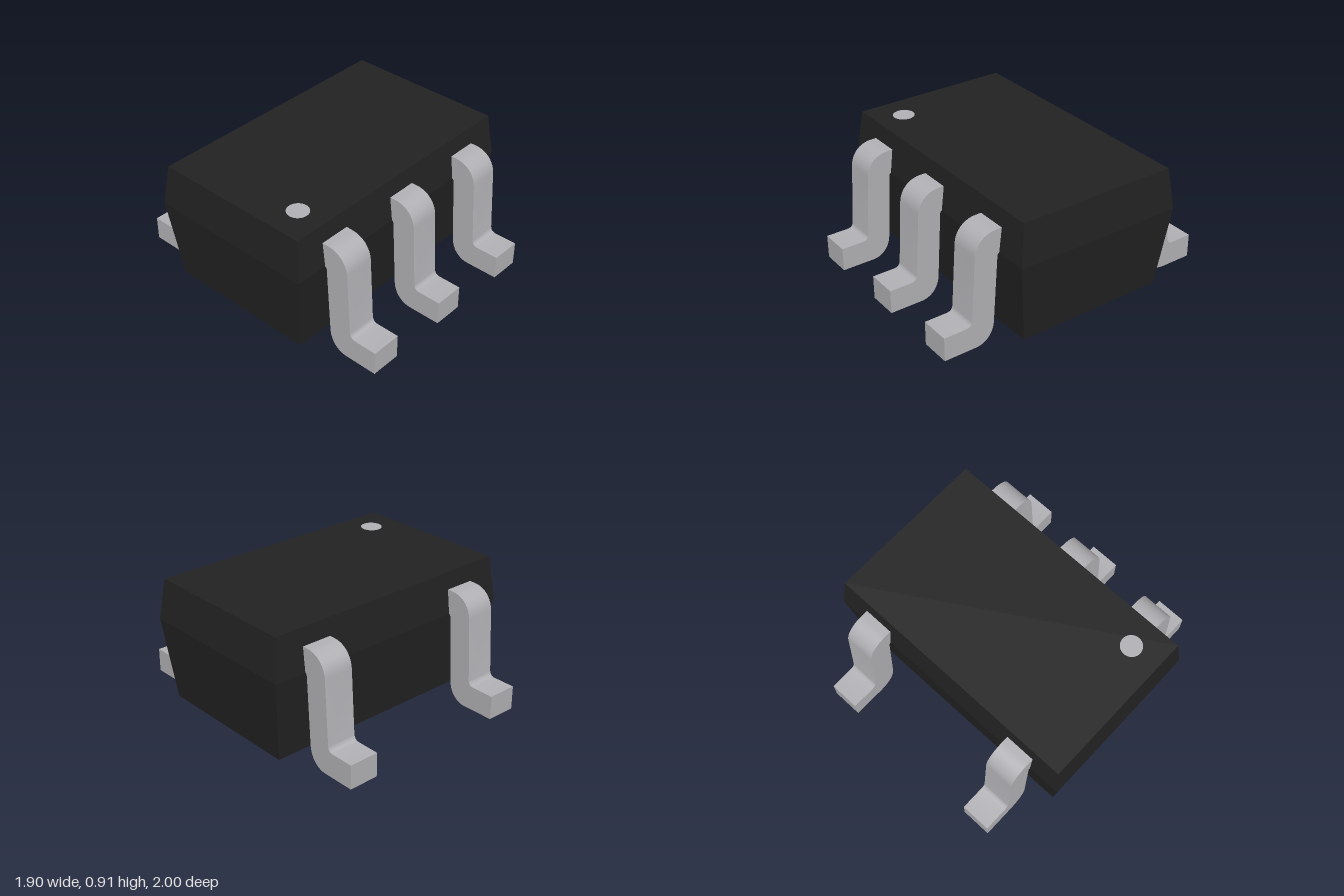
import * as THREE from 'three';
import { toCreasedNormals } from 'three/addons/utils/BufferGeometryUtils.js';

const blackPlastic = new THREE.MeshStandardMaterial({ name: 'blackPlastic', color: 0x222222 });
const tinnedMetal = new THREE.MeshStandardMaterial({ name: 'tinnedMetal', color: 0xb0b0b4 });

// Moulded body: a box with three levels, widest at the parting line
function bodyGeometry() {
  const levels = [[0.05, 0.885, 0.53], [0.62, 0.95, 0.595], [0.905, 0.918, 0.561]]; // y, half x, half z
  const box = new THREE.BoxGeometry(2, 2, 2, 1, 2, 1);
  const p = box.attributes.position;
  for (let i = 0; i < p.count; i++) {
    const [y, hx, hz] = levels[Math.round(p.getY(i)) + 1];
    p.setXYZ(i, Math.sign(p.getX(i)) * hx, y, Math.sign(p.getZ(i)) * hz);
  }
  const geometry = box.toNonIndexed();
  geometry.computeVertexNormals();
  return geometry;
}

// Gull-wing lead: side profile (z outwards, y up) extruded across its width
function leadGeometry() {
  const width = 0.212;
  const s = new THREE.Shape();
  s.moveTo(0.5, 0.62);
  s.lineTo(0.592, 0.62);
  s.quadraticCurveTo(0.606, 0.62, 0.608, 0.6);
  s.lineTo(0.637, 0.14);
  s.bezierCurveTo(0.642, 0.06, 0.695, 0, 0.77, 0);
  s.lineTo(1, 0);
  s.lineTo(1, 0.167);
  s.lineTo(0.838, 0.167);
  s.quadraticCurveTo(0.802, 0.169, 0.798, 0.208);
  s.lineTo(0.77, 0.645);
  s.bezierCurveTo(0.763, 0.73, 0.7, 0.787, 0.615, 0.787);
  s.lineTo(0.5, 0.787);
  const geometry = new THREE.ExtrudeGeometry(s, { depth: width, bevelEnabled: false, curveSegments: 10 });
  geometry.translate(0, 0, -width / 2);
  geometry.rotateY(-Math.PI / 2);
  return toCreasedNormals(geometry, 0.6);
}

export function createModel() {
  const model = new THREE.Group();
  model.name = 'chipPackage';
  const add = (name, geometry, material) => {
    const mesh = new THREE.Mesh(geometry, material);
    mesh.name = name;
    model.add(mesh);
    return mesh;
  };

  add('body', bodyGeometry(), blackPlastic);

  // Three leads in front, two behind
  const lead = leadGeometry();
  for (const x of [-0.617, 0, 0.617]) {
    add('frontLead', lead, tinnedMetal).position.x = x;
    if (x === 0) continue;
    const back = add('backLead', lead, tinnedMetal);
    back.position.x = x;
    back.rotation.y = Math.PI;
  }

  // Pin-one dot on the top face
  const dot = add('pinOneDot', new THREE.CylinderGeometry(0.073, 0.073, 0.006, 40), tinnedMetal);
  dot.position.set(-0.705, 0.905, 0.36);

  return model;
}
